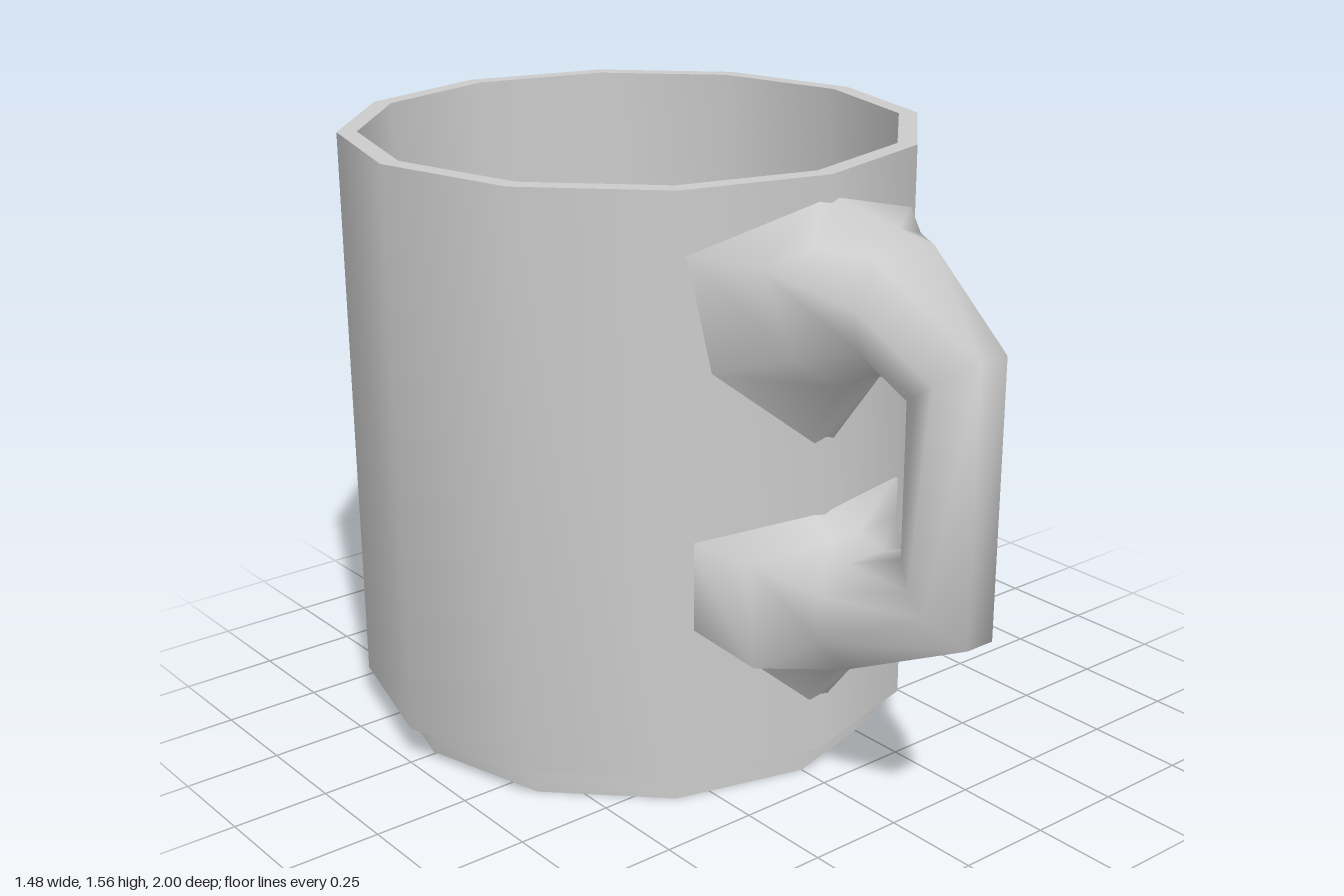
import * as THREE from 'three';
import { toCreasedNormals } from 'three/addons/utils/BufferGeometryUtils.js';

const SIDES = 12;

function material() {
  return new THREE.MeshStandardMaterial({ color: 0xcccccc });
}

// Cup wall, floor, foot and recessed underside as one turned profile
function makeCup() {
  const profile = [
    [0, 0.05], [0.6, 0.05], [0.61, 0], [0.675, 0], [0.675, 0.09], [0.74, 0.09],
    [0.74, 1.56], [0.69, 1.56], [0.685, 0.15], [0, 0.15],
  ].map(([r, y]) => new THREE.Vector2(r, y));
  const geometry = toCreasedNormals(new THREE.LatheGeometry(profile, SIDES), 0.7);
  const cup = new THREE.Mesh(geometry, material());
  cup.name = 'cup';
  cup.position.z = -0.26;
  return cup;
}

// Handle lofted through mirrored rings; each half ring runs from the outer to the inner edge
function makeHandle() {
  const sections = [
    [[0.03, 1.5, 0.47], [0.36, 1.41, 0.375], [0.3, 1.12, 0.39], [0.03, 0.91, 0.47]],   // upper root
    [[0.13, 1.43, 0.57], [0.25, 1.39, 0.52], [0.17, 1.17, 0.55], [0.06, 1.09, 0.59]],  // upper flare
    [[0.09, 1.43, 0.72], [0.15, 1.32, 0.72], [0.13, 1.22, 0.72], [0.07, 1.16, 0.72]],  // upper arm
    [[0.04, 1.25, 1.0], [0.105, 1.19, 0.92], [0.105, 1.15, 0.87], [0.07, 1.12, 0.81]], // top of grip
    [[0.04, 0.57, 1.0], [0.105, 0.64, 0.92], [0.105, 0.69, 0.87], [0.07, 0.74, 0.81]], // foot of grip
    [[0.05, 0.38, 0.62], [0.14, 0.48, 0.62], [0.14, 0.6, 0.62], [0.06, 0.66, 0.62]],   // lower arm
    [[0.04, 0.36, 0.57], [0.23, 0.39, 0.49], [0.24, 0.66, 0.48], [0.05, 0.69, 0.55]],  // lower flare
    [[0.03, 0.23, 0.47], [0.35, 0.5, 0.375], [0.35, 0.72, 0.375], [0.03, 0.73, 0.47]], // lower root
  ];
  const positions = [];
  for (const half of sections) {
    const mirrored = half.map(([x, y, z]) => [-x, y, z]).reverse();
    for (const p of [...half, ...mirrored]) positions.push(...p);
  }
  const count = 8;
  const index = [];
  for (let s = 0; s < sections.length - 1; s++) {
    for (let j = 0; j < count; j++) {
      const k = (j + 1) % count;
      const a = s * count + j, b = s * count + k;
      const c = a + count, d = b + count;
      index.push(a, c, b, b, c, d);
    }
  }
  const geometry = new THREE.BufferGeometry();
  geometry.setAttribute('position', new THREE.Float32BufferAttribute(positions, 3));
  geometry.setIndex(index);
  geometry.computeVertexNormals();
  const handle = new THREE.Mesh(geometry, material());
  handle.name = 'handle';
  return handle;
}

export function createModel() {
  const mug = new THREE.Group();
  mug.name = 'mug';
  mug.add(makeCup(), makeHandle());
  return mug;
}
